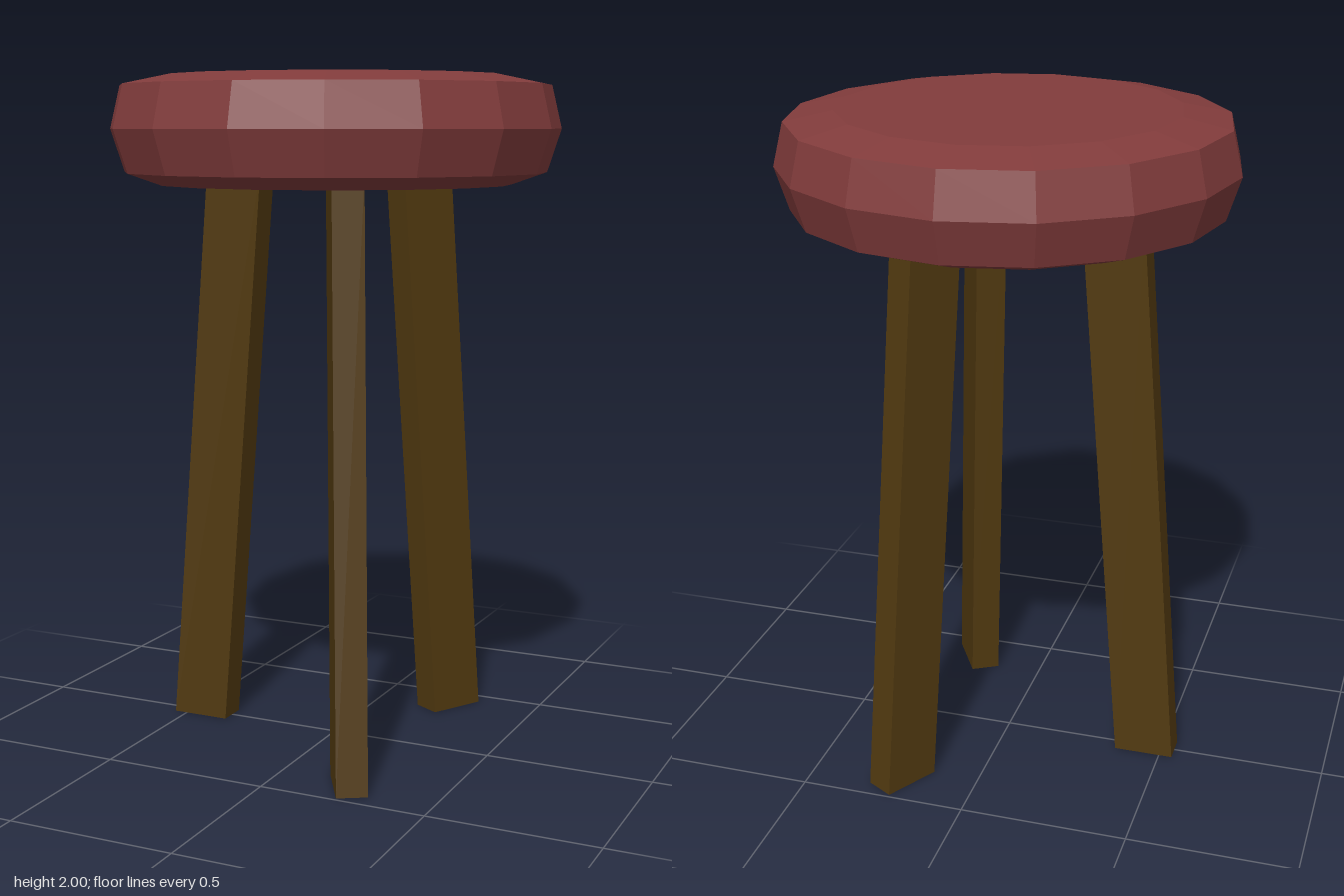
import * as THREE from 'three';

export function createModel() {
  const model = new THREE.Group();
  model.name = 'stool';

  const seatRed = new THREE.MeshStandardMaterial({ color: 0x823c3c, flatShading: true });
  seatRed.name = 'seat red';
  const legWood = new THREE.MeshStandardMaterial({ color: 0x523a10, flatShading: true });
  legWood.name = 'leg wood';

  // Padded sixteen-sided cushion, from the underside up to the slightly domed top
  const profile = [
    [0, 1.68], [0.52, 1.68], [0.62, 1.715], [0.66, 1.84],
    [0.63, 1.965], [0.49, 1.994], [0, 2],
  ].map(([r, y]) => new THREE.Vector2(r, y));
  const seat = new THREE.Mesh(new THREE.LatheGeometry(profile, 16), seatRed);
  seat.name = 'seat';
  model.add(seat);

  // Plank leg with level ends, leaning inwards as it rises into the seat
  const height = 1.72;
  const legGeometry = new THREE.BoxGeometry(0.18, height, 0.09);
  legGeometry.translate(0.45, height / 2, 0);
  const position = legGeometry.attributes.position;
  for (let i = 0; i < position.count; i++) {
    position.setX(i, position.getX(i) - 0.08 * position.getY(i));
  }
  legGeometry.computeVertexNormals();

  // Three legs spaced evenly around the seat
  ['backLeftLeg', 'rightLeg', 'frontLeftLeg'].forEach((name, i) => {
    const leg = new THREE.Mesh(legGeometry, legWood);
    leg.name = name;
    leg.rotation.y = Math.PI / 3 + (i * Math.PI * 2) / 3;
    model.add(leg);
  });

  return model;
}
